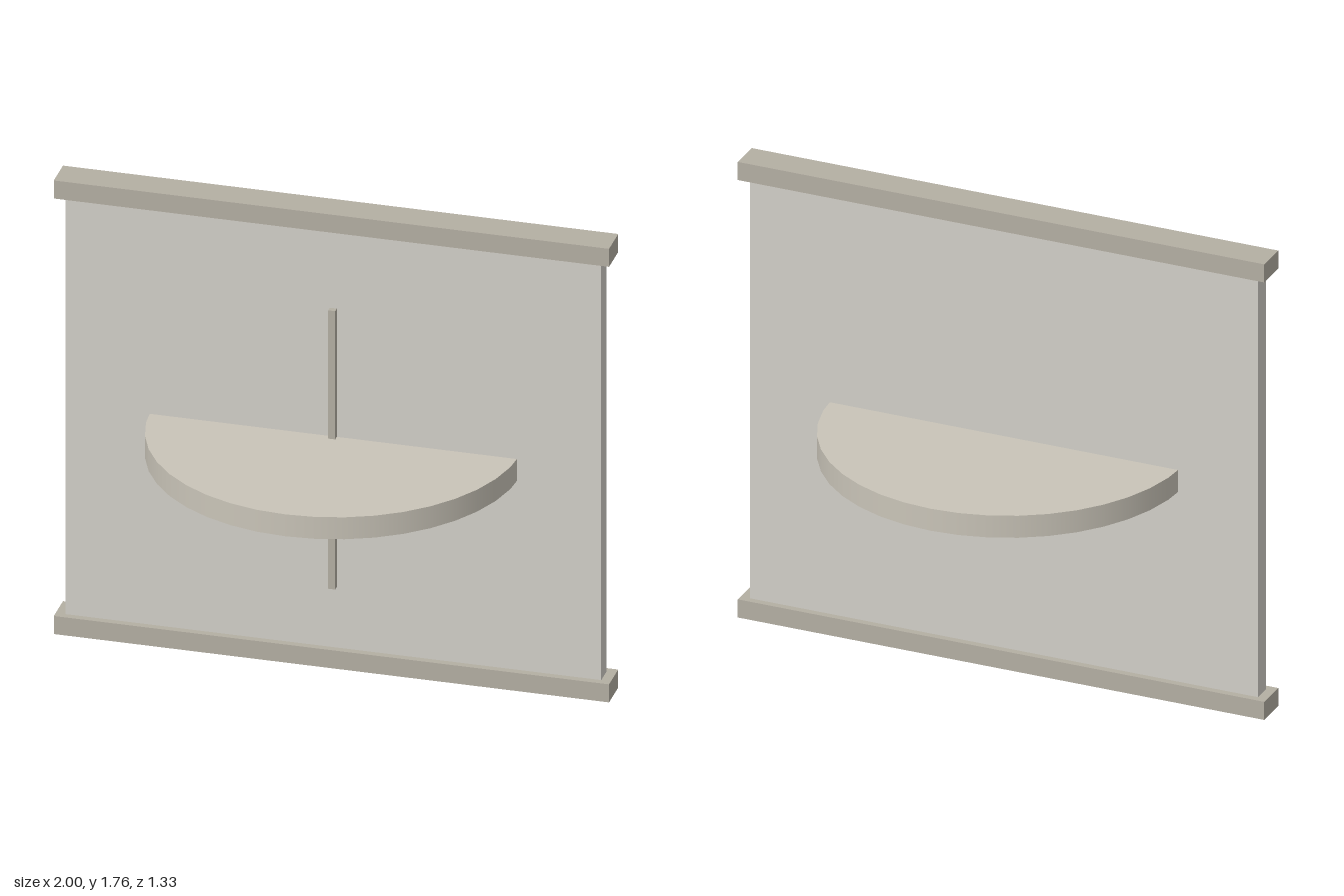
import * as THREE from 'three';

export function createModel() {
  const group = new THREE.Group();
  const add = (name, geometry, color, x, y, z) => {
    const mesh = new THREE.Mesh(geometry, new THREE.MeshStandardMaterial({ color }));
    mesh.name = name;
    mesh.position.set(x, y, z);
    group.add(mesh);
  };

  // Upright wall panel between the two rails
  add('panel', new THREE.BoxGeometry(1.93, 1.62, 0.07), 0xd2cfc8, 0, 0.88, 0);

  // Bottom and top rails
  for (const [name, y] of [['bottomRail', 0.035], ['topRail', 1.725]]) {
    add(name, new THREE.BoxGeometry(2, 0.07, 0.12), 0xb4afa3, 0, y, 0);
  }

  // Round shelf passing through the panel
  add('roundShelf', new THREE.CylinderGeometry(0.664, 0.664, 0.085, 40), 0xc9c4b8, 0, 0.845, 0);

  // Slim vertical strip on the front face
  add('frontStrip', new THREE.BoxGeometry(0.025, 1.08, 0.025), 0xb4afa3, 0, 0.845, 0.0435);

  return group;
}
